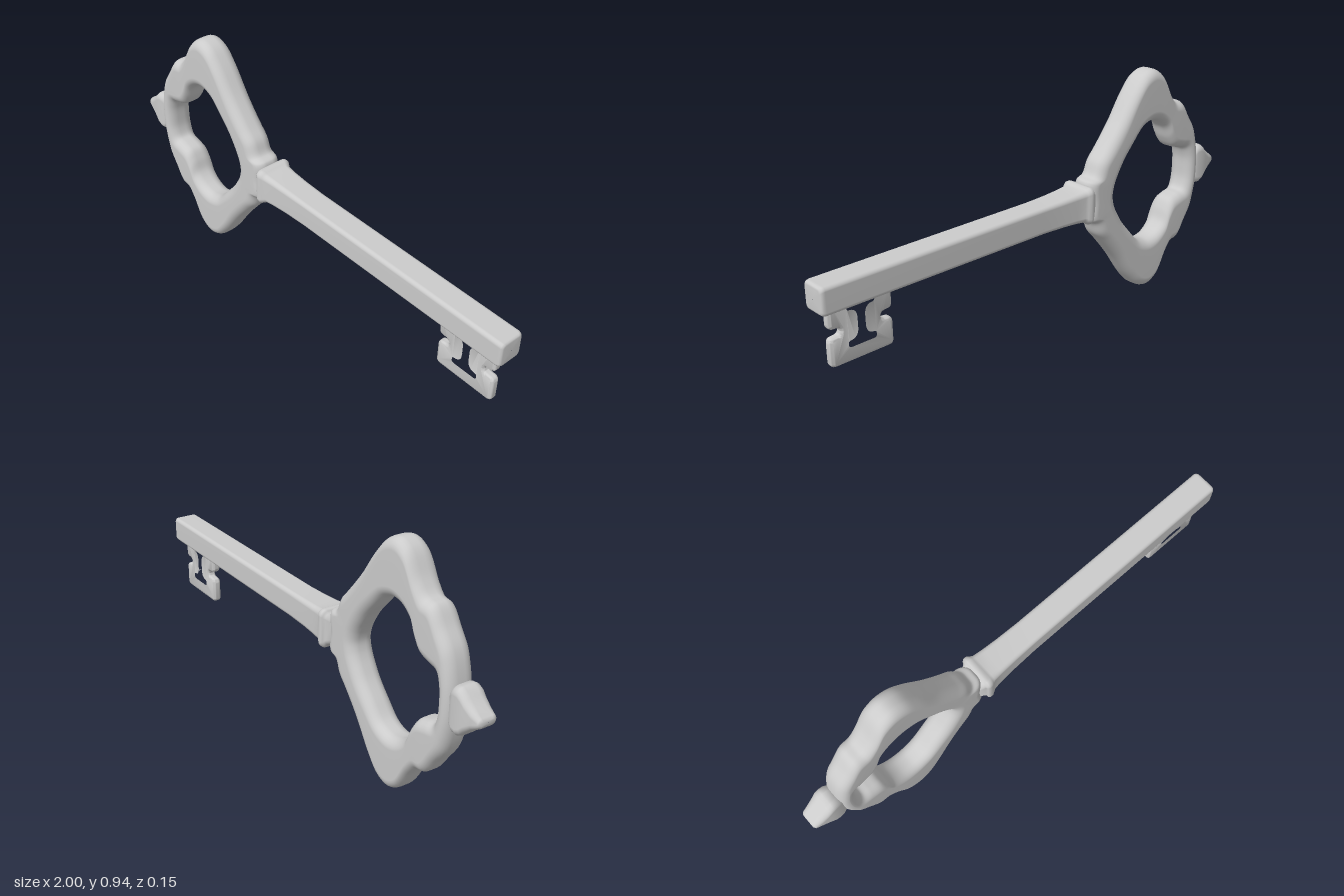
import * as THREE from 'three';
import { toCreasedNormals } from 'three/addons/utils/BufferGeometryUtils.js';

const CY = 0.471; // height of the key's long axis
const material = new THREE.MeshStandardMaterial({ color: 0xcccccc });

// Rounded rectangle as a counter-clockwise list of [u, v]
function roundRect(hu, hv, r, n = 6) {
  const ru = Math.min(r, hu * 0.95), rv = Math.min(r, hv * 0.95), pts = [];
  [[1, 1], [-1, 1], [-1, -1], [1, -1]].forEach(([su, sv], q) => {
    for (let i = 0; i <= n; i++) {
      const a = (q + i / n) * Math.PI / 2;
      pts.push([su * (hu - ru) + ru * Math.cos(a), sv * (hv - rv) + rv * Math.sin(a)]);
    }
  });
  return pts;
}

// Skin a series of equal-length rings of [x, y, z]
function loft(rings, closed) {
  const n = rings[0].length, m = rings.length, index = [];
  for (let i = 0; i < (closed ? m : m - 1); i++) {
    for (let j = 0; j < n; j++) {
      const k = (j + 1) % n, p = i * n, q = ((i + 1) % m) * n;
      index.push(p + j, p + k, q + j, p + k, q + k, q + j);
    }
  }
  const geo = new THREE.BufferGeometry();
  geo.setAttribute('position', new THREE.Float32BufferAttribute(rings.flat(2), 3));
  geo.setIndex(index);
  geo.computeVertexNormals();
  return geo;
}

// Bar along x from sections [x, halfHeight, halfDepth, cornerRadius]
const bar = (sections) => loft(sections.map(([x, hy, hz, r]) =>
  roundRect(hy, hz, r).map(([u, v]) => [x, CY + u, v])), false);

// Closed path with softened corners
function softPath(path, pts, r) {
  const v = pts.map((p) => new THREE.Vector2(...p));
  v.forEach((p, i) => {
    const toward = (o) => {
      const d = o.clone().sub(p);
      return p.clone().add(d.setLength(Math.min(r, d.length() * 0.48)));
    };
    const a = toward(v[(i + v.length - 1) % v.length]), b = toward(v[(i + 1) % v.length]);
    if (i === 0) path.moveTo(a.x, a.y); else path.lineTo(a.x, a.y);
    path.quadraticCurveTo(p.x, p.y, b.x, b.y);
  });
  path.closePath();
  return path;
}

// Bow: upper half as [outer x, outer y, inner x, inner y], mirrored below
function bowGeometry() {
  const half = [
    [-0.216, 0, -0.356, 0], [-0.216, 0.08, -0.361, 0.03], [-0.25, 0.097, -0.372, 0.058],
    [-0.275, 0.15, -0.39, 0.09], [-0.313, 0.193, -0.415, 0.128], [-0.393, 0.289, -0.46, 0.18],
    [-0.473, 0.4, -0.511, 0.235], [-0.527, 0.455, -0.545, 0.252], [-0.58, 0.47, -0.58, 0.258],
    [-0.628, 0.445, -0.628, 0.246], [-0.682, 0.358, -0.672, 0.21], [-0.72, 0.316, -0.695, 0.155],
    [-0.762, 0.305, -0.72, 0.118], [-0.805, 0.246, -0.76, 0.103], [-0.848, 0.182, -0.795, 0.093],
    [-0.873, 0.09, -0.812, 0.055], [-0.88, 0, -0.816, 0],
  ];
  const lower = half.slice(1, -1).reverse().map(([a, b, c, d]) => [a, -b, c, -d]);
  const all = [...half, ...lower];
  const curve = (k) => new THREE.CatmullRomCurve3(
    all.map((p) => new THREE.Vector3(p[k], p[k + 1], 0)), true, 'centripetal');
  const outer = curve(0), inner = curve(2), rings = [], steps = 192;
  for (let i = 0; i < steps; i++) {
    const o = outer.getPoint(i / steps), n = inner.getPoint(i / steps);
    const mid = o.clone().add(n).multiplyScalar(0.5);
    const dir = o.clone().sub(n), w = dir.length() / 2;
    dir.normalize();
    rings.push(roundRect(w, 0.057, 0.042).map(([u, v]) =>
      [mid.x + dir.x * u, CY + mid.y + dir.y * u, -v]));
  }
  return loft(rings, true);
}

// Bit: thin plate with side notches and an I-shaped opening
function bitGeometry() {
  const mirror = (pts) => [...pts, ...pts.slice().reverse().map(([x, y]) => [-x, y])];
  const shape = softPath(new THREE.Shape(), mirror([
    [0.125, 0.45], [0.125, 0.346], [0.079, 0.344], [0.079, 0.316], [0.125, 0.314], [0.125, 0.208],
  ]), 0.02);
  shape.holes.push(softPath(new THREE.Path(), mirror([
    [0.066, 0.436], [0.066, 0.386], [0.026, 0.384], [0.026, 0.298], [0.066, 0.296], [0.066, 0.25],
  ]), 0.024));
  const geo = new THREE.ExtrudeGeometry(shape, {
    depth: 0.012, bevelThickness: 0.011, bevelSize: 0.011, bevelOffset: -0.011,
    bevelSegments: 4, curveSegments: 6,
  });
  geo.translate(0.838, 0, -0.006);
  return toCreasedNormals(geo, 0.9);
}

export function createModel() {
  const group = new THREE.Group();
  const add = (name, geo) => {
    const mesh = new THREE.Mesh(geo, material);
    mesh.name = name;
    group.add(mesh);
  };

  add('bow', bowGeometry());

  // Pointed knob on the outer end of the bow
  add('finial', bar([
    [-1, 0.001, 0.001, 0.001], [-1, 0.009, 0.028, 0.009], [-0.994, 0.018, 0.038, 0.017],
    [-0.965, 0.038, 0.044, 0.026], [-0.937, 0.062, 0.048, 0.03], [-0.922, 0.078, 0.05, 0.03],
    [-0.905, 0.087, 0.05, 0.03], [-0.885, 0.086, 0.048, 0.03], [-0.86, 0.066, 0.042, 0.03],
    [-0.85, 0.001, 0.001, 0.001],
  ]));

  // Square shank with a flared collar beside the bow
  add('shank', bar([
    [-0.24, 0.001, 0.001, 0.001], [-0.24, 0.05, 0.05, 0.02], [-0.214, 0.062, 0.062, 0.02],
    [-0.211, 0.071, 0.071, 0.024], [-0.204, 0.076, 0.076, 0.026], [-0.192, 0.076, 0.076, 0.026],
    [-0.181, 0.07, 0.07, 0.024], [-0.17, 0.064, 0.064, 0.022], [-0.13, 0.06, 0.06, 0.02],
    [-0.06, 0.056, 0.056, 0.018], [0.04, 0.053, 0.053, 0.016], [0.984, 0.052, 0.052, 0.015],
    [0.993, 0.05, 0.05, 0.015], [0.998, 0.046, 0.046, 0.014], [1, 0.04, 0.04, 0.012],
    [1, 0.001, 0.001, 0.001],
  ]));

  add('bit', bitGeometry());
  return group;
}
